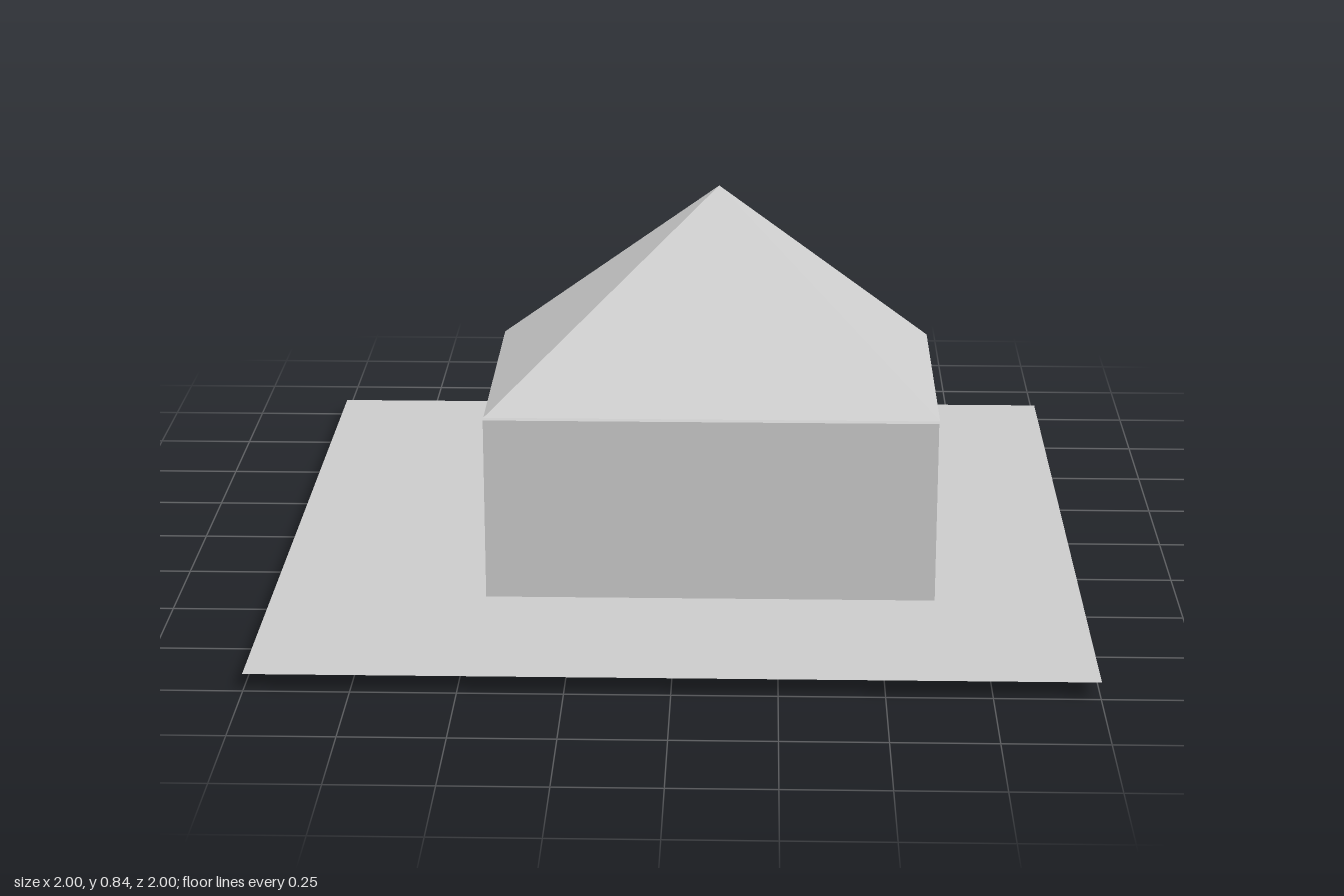
import * as THREE from 'three';

export function createModel() {
  const model = new THREE.Group();
  const grey = new THREE.MeshStandardMaterial({ color: 0xcccccc, side: THREE.DoubleSide, flatShading: true });
  grey.name = 'plain grey';

  const add = (name, geometry, parent = model) => {
    const mesh = new THREE.Mesh(geometry, grey);
    mesh.name = name;
    parent.add(mesh);
    return mesh;
  };
  // Box given by its limits on each axis
  const box = (name, [x0, x1], [y0, y1], [z0, z1], parent) => {
    const mesh = add(name, new THREE.BoxGeometry(x1 - x0, y1 - y0, z1 - z0), parent);
    mesh.position.set((x0 + x1) / 2, (y0 + y1) / 2, (z0 + z1) / 2);
    return mesh;
  };

  // Ground sheet
  add('ground', new THREE.PlaneGeometry(2, 2).rotateX(-Math.PI / 2)).position.y = 0.043;

  // Walls: one outline with an opening in the back
  const L = -0.47, R = 0.637, F = 0.507, B = -0.205, T = 0.075;
  const outline = [
    [-0.19, B], [L, B], [L, F], [R, F], [R, B], [0.36, B],
    [0.36, B + T], [R - T, B + T], [R - T, F - T], [L + T, F - T], [L + T, B + T], [-0.19, B + T],
  ];
  const plan = new THREE.Shape(outline.map(([x, z]) => new THREE.Vector2(x, -z)));
  const walls = new THREE.ExtrudeGeometry(plan, { depth: 0.485, bevelEnabled: false });
  add('walls', walls.rotateX(-Math.PI / 2)).position.y = 0.018;

  // Roof: a four-sided pyramid whose apex overhangs the back
  const base = [[L, 0.49], [R + 0.003, 0.49], [R + 0.003, -0.213], [L, -0.213]].map(([x, z]) => [x, 0.504, z]);
  const apex = [0.09, 0.837, -0.47];
  const points = [];
  base.forEach((p, i) => points.push(...p, ...base[(i + 1) % 4], ...apex));
  [0, 2, 1, 0, 3, 2].forEach((i) => points.push(...base[i]));
  const roof = new THREE.BufferGeometry();
  roof.setAttribute('position', new THREE.Float32BufferAttribute(points, 3));
  roof.computeVertexNormals();
  add('roof', roof);

  // Doorway columns, lintel and hanging sign board
  for (const x of [-0.19, 0.3625]) box('column', [x - 0.037, x + 0.037], [0, 0.5], [-0.23, -0.13]);
  box('lintel', [-0.227, 0.4], [0.43, 0.5], [-0.25, -0.205]);
  box('signBoard', [-0.065, 0.23], [0.4, 0.57], [-0.275, -0.252]);
  for (const x of [0, 0.165]) box('signBracket', [x - 0.01, x + 0.01], [0.46, 0.52], [-0.256, -0.215]);
  box('columnKnob', [-0.155, -0.135], [0.115, 0.145], [-0.21, -0.19]);

  // Two low benches inside
  for (const x of [-0.19, 0.35]) {
    const bench = new THREE.Group();
    bench.name = 'bench';
    box('benchTop', [x - 0.1, x + 0.1], [0.095, 0.125], [0, 0.3], bench);
    for (const dx of [-0.075, 0.075]) for (const z of [0.04, 0.26]) {
      box('benchLeg', [x + dx - 0.018, x + dx + 0.018], [0.035, 0.1], [z - 0.018, z + 0.018], bench);
    }
    model.add(bench);
  }
  return model;
}
